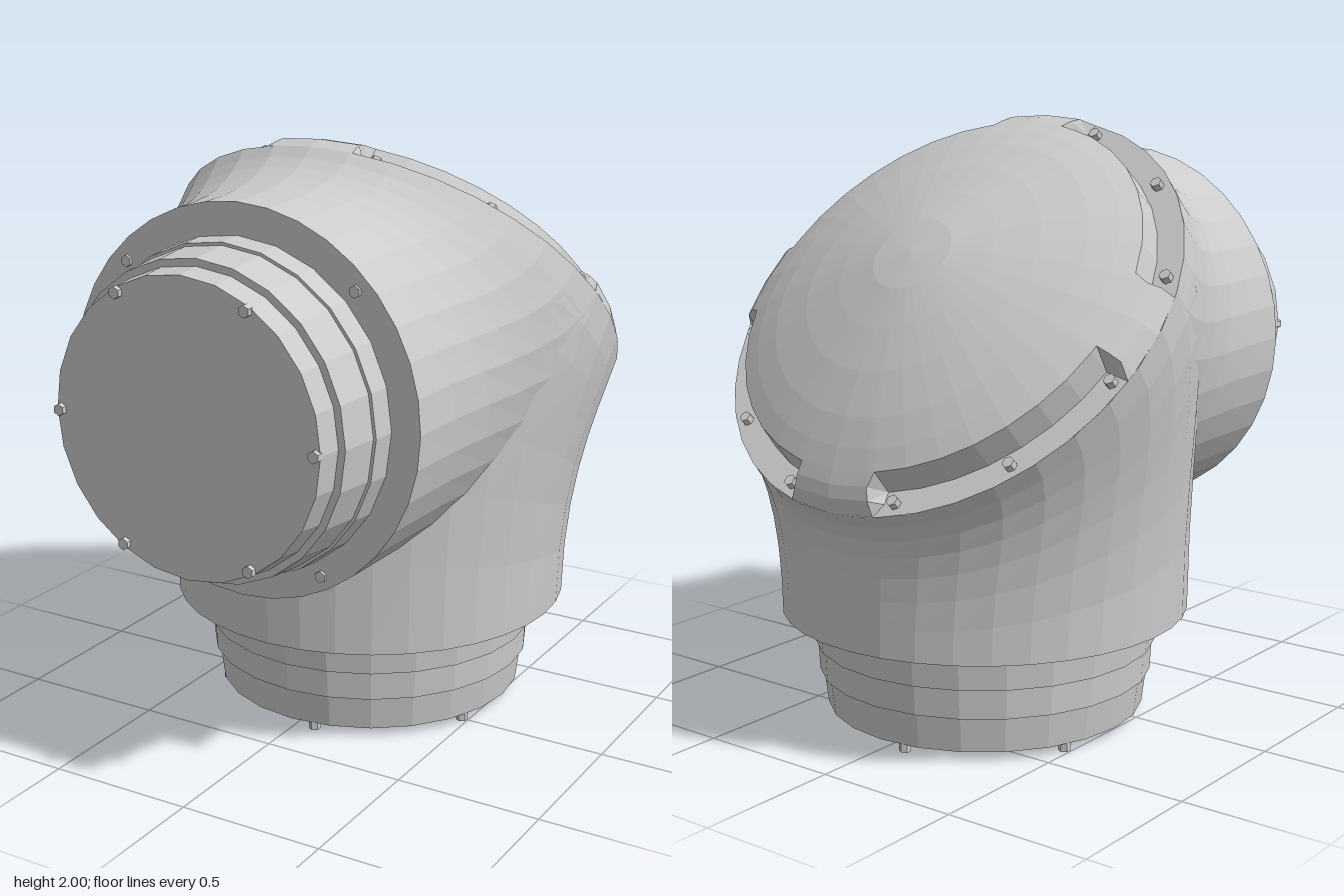
import * as THREE from 'three';

const mat = new THREE.MeshStandardMaterial({ color: 0xcccccc, flatShading: true });
const JOINT = new THREE.Vector3(0, 1.23, -0.19); // where the two tube axes cross
const TILT = -Math.PI / 4;                       // cap leans up and back
const capNormal = new THREE.Vector3(0, 1, 0).applyAxisAngle(new THREE.Vector3(1, 0, 0), TILT);
const SEAM = 0.25, RIM = 0.815;                  // cap seam height along its axis, rim radius
const rad = THREE.MathUtils.degToRad;

function mesh(name, geometry, parent) {
  const m = new THREE.Mesh(geometry, mat);
  m.name = name;
  parent.add(m);
  return m;
}

// Surface through rows of points, each row running round the same angles
function skin(rows) {
  const n = rows[0].length, index = [];
  for (let i = 0; i < rows.length - 1; i++)
    for (let j = 0; j < n - 1; j++) {
      const a = i * n + j, b = a + n;
      index.push(a, b, a + 1, a + 1, b, b + 1);
    }
  const g = new THREE.BufferGeometry().setFromPoints(rows.flat());
  g.setIndex(index);
  g.computeVertexNormals();
  return g;
}

// Branch of the elbow: from the slanted cap rim to a round mouth, closed by a flat end
function branch(mouthPoint, mouthCentre, inward) {
  const SIDES = 36, STEPS = 7;
  const rows = Array.from({ length: STEPS + 2 }, () => []);
  for (let j = 0; j <= SIDES; j++) {
    const a = (j / SIDES) * Math.PI * 2;
    const start = new THREE.Vector3(RIM * Math.sin(a), SEAM, RIM * Math.cos(a))
      .applyAxisAngle(new THREE.Vector3(1, 0, 0), TILT).add(JOINT);
    const end = mouthPoint(Math.sin(a), Math.cos(a));
    const d = start.distanceTo(end);
    const curve = new THREE.CubicBezierCurve3(
      start, start.clone().addScaledVector(capNormal, -0.25 * d),
      end.clone().addScaledVector(inward, 0.5 * d), end);
    for (let i = 0; i <= STEPS; i++) rows[i].push(curve.getPoint(i / STEPS));
    rows[STEPS + 1].push(mouthCentre.clone());
  }
  return skin(rows);
}

// Domed cap whose edge is cut back to a bolt ledge in four places
function domeGeometry() {
  const crown = [[0, 0.525], [0.14, 0.515], [0.28, 0.487], [0.42, 0.453], [0.56, 0.41], [0.65, 0.375], [0.715, 0.345]];
  const tab = [...crown, [0.755, 0.325], [0.79, 0.3], [RIM, SEAM]];
  const notch = [...crown, [0.725, SEAM], [0.77, SEAM], [RIM, SEAM]];
  const columns = [];
  const add = (deg, profile) => columns.push([rad(deg), profile]);
  const span = (from, to, steps, profile) => {
    for (let k = 0; k <= steps; k++) add(from + (to - from) * k / steps, profile);
  };
  span(0, 10.5, 1, tab);
  span(12.5, 79.5, 7, notch);
  span(81.5, 102, 2, tab);
  span(104, 167, 7, notch);
  span(169, 191, 2, tab);
  span(193, 256, 7, notch);
  span(258, 278.5, 2, tab);
  span(280.5, 347.5, 7, notch);
  span(349.5, 360, 1, tab);
  return skin(tab.map((_, i) => columns.map(([a, p]) =>
    new THREE.Vector3(p[i][0] * Math.sin(a), p[i][1], p[i][0] * Math.cos(a)))));
}

// Stepped collar along +y: each tier is [bottom, top, bottomRadius, topRadius]
function collar(name, tiers, parent) {
  const g = new THREE.Group();
  g.name = name;
  for (const [y0, y1, r0, r1] of tiers) {
    const tier = mesh('collarTier', new THREE.CylinderGeometry(r1, r0, y1 - y0, 24), g);
    tier.position.y = (y0 + y1) / 2;
  }
  parent.add(g);
  return g;
}

// Ring of small hexagonal bolts standing on a plane across y
function bolts(name, degrees, radius, y, height, parent) {
  for (const deg of degrees) {
    const b = mesh(name, new THREE.CylinderGeometry(0.02, 0.02, height, 6), parent);
    b.position.set(radius * Math.sin(rad(deg)), y + height / 2, radius * Math.cos(rad(deg)));
  }
}

export function createModel() {
  const model = new THREE.Group();
  model.name = 'elbowJoint';

  // Elbow housing: two branches sharing the slanted rim
  mesh('lowerHousing', branch(
    (s, c) => new THREE.Vector3(0.69 * s, 0.37, JOINT.z + 0.69 * c),
    new THREE.Vector3(0, 0.37, JOINT.z), new THREE.Vector3(0, 1, 0)), model);
  mesh('frontHousing', branch(
    (s, c) => new THREE.Vector3(0.64 * s, 1.235 + 0.64 * c, 0.64),
    new THREE.Vector3(0, 1.235, 0.64), new THREE.Vector3(0, 0, -1)), model);

  // Slanted domed cap and its ledge bolts
  const cap = new THREE.Group();
  cap.name = 'cap';
  cap.position.copy(JOINT);
  cap.rotation.x = TILT;
  mesh('dome', domeGeometry(), cap);
  const half = [15.5, 45, 76, 106, 135, 164];
  bolts('capBolt', [...half, ...half.map((d) => -d)], 0.772, SEAM - 0.01, 0.035, cap);
  model.add(cap);

  // Front collar, turned so its axis points forward
  const front = collar('frontCollar', [
    [0.6, 0.72, 0.545, 0.535],
    [0.72, 0.86, 0.525, 0.512],
    [0.86, 0.943, 0.488, 0.478],
  ], model);
  front.position.y = 1.23;
  front.rotation.x = Math.PI / 2;
  bolts('frontBolt', [30, 90, 150, 210, 270, 330], 0.462, 0.935, 0.025, front);
  bolts('flangeBolt', [30, 135, 225, 315], 0.59, 0.63, 0.02, front);

  // Bottom collar and its foot bolts
  const base = collar('bottomCollar', [
    [0.03, 0.15, 0.54, 0.555],
    [0.15, 0.25, 0.567, 0.572],
    [0.25, 0.4, 0.58, 0.592],
  ], model);
  base.position.z = JOINT.z;
  bolts('footBolt', [8, 68, 128, 188, 248, 308], 0.515, 0, 0.04, base);

  return model;
}
